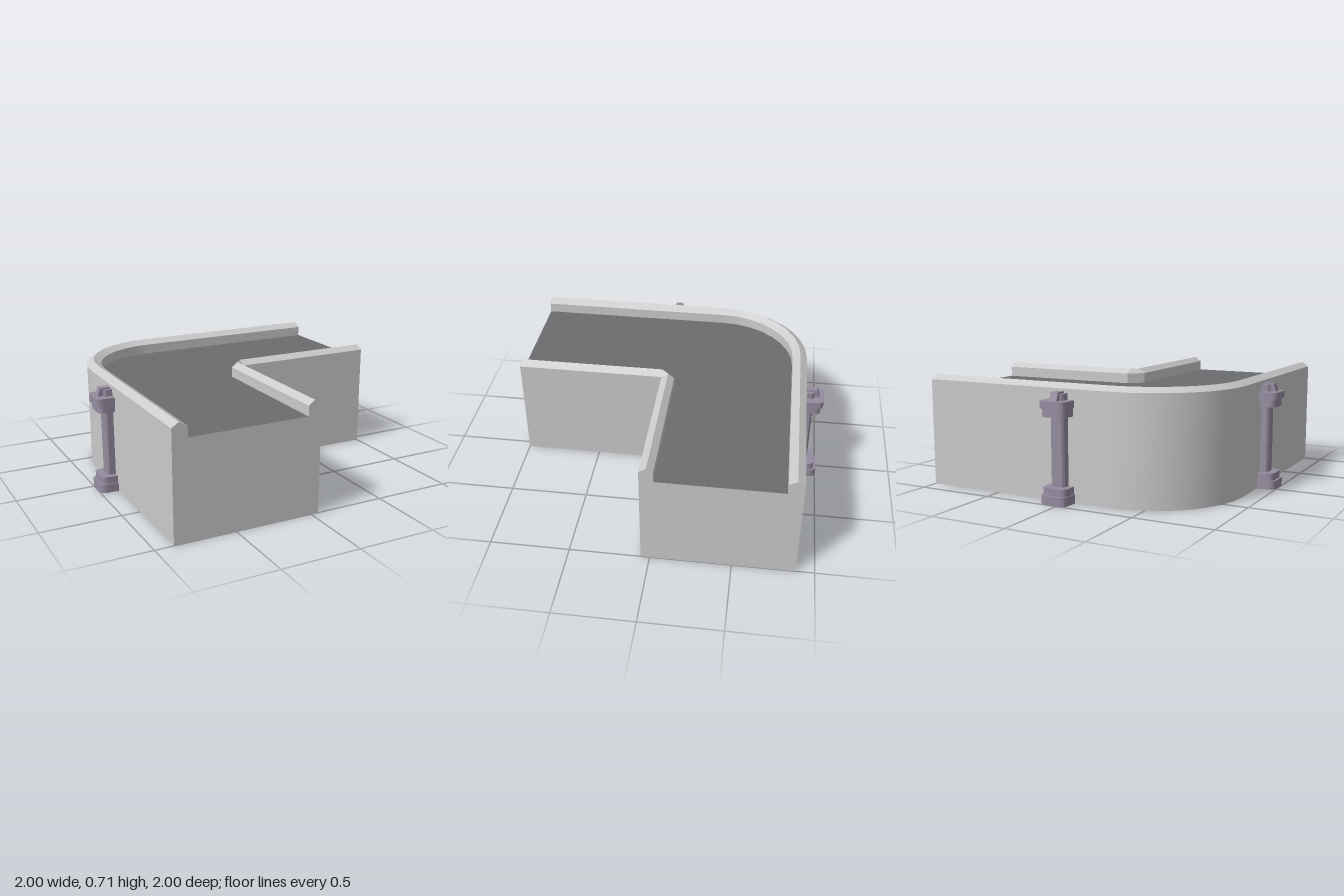
import * as THREE from 'three';
import { toCreasedNormals } from 'three/addons/utils/BufferGeometryUtils.js';

const stone = new THREE.MeshStandardMaterial({ color: 0xcccccc });
const paving = new THREE.MeshStandardMaterial({ color: 0x6c6d6e });
const iron = new THREE.MeshStandardMaterial({ color: 0x958da0 });

// Wall cross-section as [radius from the corner centre, height], outer side to inner side
const OUTER = [[0.6, 0], [0.6, 0.68], [0.555, 0.71], [0.505, 0.68], [0.505, 0.615]];
const INNER = [[0.085, 0.615], [0.085, 0.68], [0.045, 0.71], [0, 0.68], [0, 0]];
const FLOOR_EDGE = OUTER.length - 1;
const OUTER_CENTRE = [-0.285, -0.285], INNER_CENTRE = [0.05, 0.055];
const STEPS = 8;

// Cross-section at turn u (0..1); the outer side bends round, the inner side is cut straight
function section(u) {
  const a = u * Math.PI / 2;
  const place = (c, dx, dz) => ([r, y]) => new THREE.Vector3(c[0] - r * dx, y, c[1] - r * dz);
  return [
    ...OUTER.map(place(OUTER_CENTRE, Math.cos(a), Math.sin(a))),
    ...INNER.map(place(INNER_CENTRE, 1 - u, u)),
  ];
}

function triangles(list) {
  const g = new THREE.BufferGeometry().setFromPoints(list);
  g.computeVertexNormals();
  return toCreasedNormals(g, 0.4);
}

function addTriangle(out, a, b, c) {
  if (new THREE.Triangle(a, b, c).getArea() > 1e-7) out.push(a, b, c);
}

function addMesh(parent, geometry, material, name) {
  const mesh = new THREE.Mesh(geometry, material);
  mesh.name = name;
  parent.add(mesh);
  return mesh;
}

function createWall(parent) {
  const stations = [];
  for (let k = 0; k <= STEPS; k++) stations.push(section(k / STEPS));
  stations.unshift(section(0).map(p => p.setZ(1)));
  stations.push(section(1).map(p => p.setX(1)));

  // Skin between neighbouring sections, with the walkway kept apart
  const body = [], floor = [];
  const count = stations[0].length;
  for (let s = 0; s < stations.length - 1; s++) {
    const p = stations[s], q = stations[s + 1];
    for (let i = 0; i < count; i++) {
      const j = (i + 1) % count;
      const out = i === FLOOR_EDGE ? floor : body;
      addTriangle(out, p[i], p[j], q[i]);
      addTriangle(out, p[j], q[j], q[i]);
    }
  }

  // Flat ends
  const first = stations[0], last = stations[stations.length - 1];
  const order = first.map((_, i) => count - 1 - i);
  const contour = order.map(i => new THREE.Vector2(first[i].x, first[i].y));
  for (const [a, b, c] of THREE.ShapeUtils.triangulateShape(contour, [])) {
    addTriangle(body, first[order[a]], first[order[b]], first[order[c]]);
    addTriangle(body, last[order[a]], last[order[c]], last[order[b]]);
  }
  addMesh(parent, triangles(body), stone, 'wallBody');
  addMesh(parent, triangles(floor), paving, 'walkway');
}

// Upright block against the wall (z = 0), its two outer corners rounded by r
function block(width, depth, r, y0, y1, curveSegments) {
  const w = width / 2;
  const s = new THREE.Shape();
  s.moveTo(-w, 0);
  s.lineTo(-w, -depth + r);
  s.quadraticCurveTo(-w, -depth, -w + r, -depth);
  s.lineTo(w - r, -depth);
  s.quadraticCurveTo(w, -depth, w, -depth + r);
  s.lineTo(w, 0);
  const g = new THREE.ExtrudeGeometry(s, { depth: y1 - y0, bevelEnabled: false, curveSegments });
  return g.rotateX(-Math.PI / 2).translate(0, y0, 0);
}

function createPillar(name) {
  const pillar = new THREE.Group();
  pillar.name = name;
  addMesh(pillar, block(0.18, 0.115, 0.045, 0, 0.055, 4), iron, 'footSlab');
  addMesh(pillar, block(0.165, 0.1, 0.04, 0.055, 0.1, 4), iron, 'footStep');
  addMesh(pillar, block(0.092, 0.052, 0.012, 0.1, 0.655, 1), iron, 'shaft');
  addMesh(pillar, block(0.165, 0.1, 0.04, 0.52, 0.57, 4), iron, 'capStep');
  addMesh(pillar, block(0.18, 0.115, 0.045, 0.57, 0.615, 4), iron, 'capSlab');

  // Sloped tab on top of the cap, its profile drawn outward from the wall
  const profile = new THREE.Shape([[0.005, 0.61], [0.088, 0.61], [0.07, 0.665], [0.005, 0.665]]
    .map(([x, y]) => new THREE.Vector2(x, y)));
  const tab = new THREE.ExtrudeGeometry(profile, { depth: 0.05, bevelEnabled: false });
  tab.translate(0, 0, -0.025).rotateY(-Math.PI / 2);
  addMesh(pillar, tab, iron, 'topTab');
  return pillar;
}

export function createModel() {
  const model = new THREE.Group();
  model.name = 'cornerWall';
  createWall(model);

  const back = createPillar('backPillar');
  back.position.set(0.03, 0, -0.885);
  back.rotation.y = Math.PI;

  const right = createPillar('rightPillar');
  right.position.set(-0.885, 0, 0.053);
  right.rotation.y = -Math.PI / 2;

  model.add(back, right);
  return model;
}
